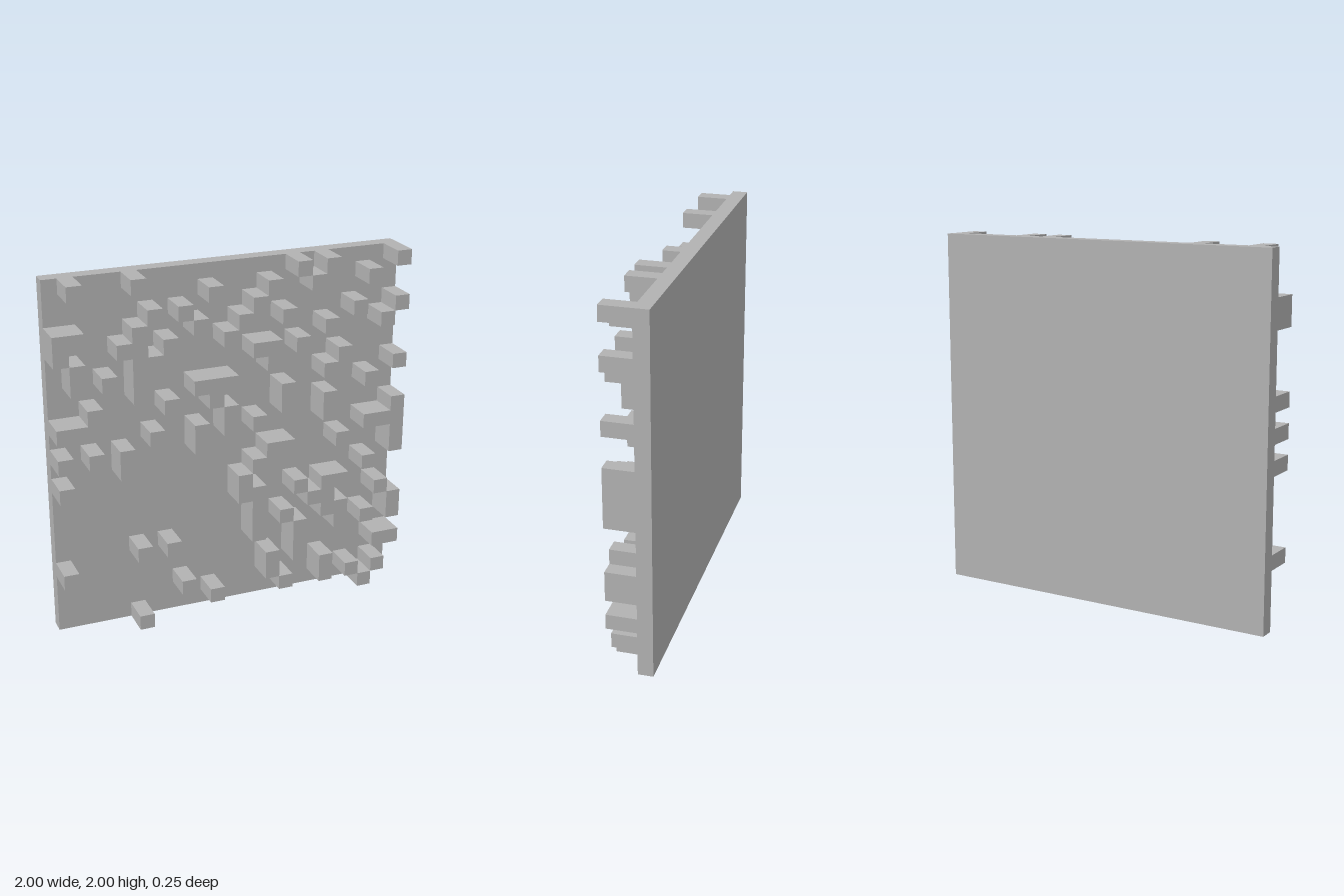
import * as THREE from 'three';

// Relief layout, top row first: # marks a raised block
const LAYOUT = [
  '.#...#..........#.#....#',
  '..........#...#..#...#..',
  '......#.#....#..........',
  '##...#...#..##.#....#..#',
  '#...##.#...#......#...#.',
  '.#...##......##.#.......',
  '.#.#.#........#....#....',
  '.....#...###......##...#',
  '..#....#..#....#.....#..',
  '##.........#...#..#.....',
  '......#..#.#.#....#....#',
  '#.#.#....#...........###',
  '....#.........##...#...#',
  '#............###.......#',
  '............#........#..',
  '............##..#.##....',
  '............##...##...#.'.replace('##...##', '.#...##'),
  '.............#.#..##...#',
  '.....#.#.....#..#..#.#.#',
  '#...............#.......',
  '..............#.#.....##',
  '........#.....#...#.....',
  '..........#....#..#.#.#.',
  '.....#...............#..',
];

export function createModel() {
  const model = new THREE.Group();
  model.name = 'reliefPanel';
  const grey = new THREE.MeshStandardMaterial({ color: 0xb2b2b2 });
  grey.name = 'grey';

  const cell = 2 / 24;
  const back = -1.5 * cell;

  const box = (name, parent, w, h, d, x, y, z) => {
    const mesh = new THREE.Mesh(new THREE.BoxGeometry(w, h, d), grey);
    mesh.name = name;
    mesh.position.set(x, y, z);
    parent.add(mesh);
  };

  // Square backing plate, one cell thick
  box('backPlate', model, 2, 2, cell, 0, 1, back + cell / 2);

  // Raised blocks, two cells deep; neighbours in a row form one bar
  const blocks = new THREE.Group();
  blocks.name = 'raisedBlocks';
  model.add(blocks);
  LAYOUT.forEach((row, r) => {
    for (const run of row.matchAll(/#+/g)) {
      const n = run[0].length;
      box('block', blocks, n * cell, cell, 2 * cell,
        -1 + (run.index + n / 2) * cell, 2 - (r + 0.5) * cell, back + 2 * cell);
    }
  });
  return model;
}
